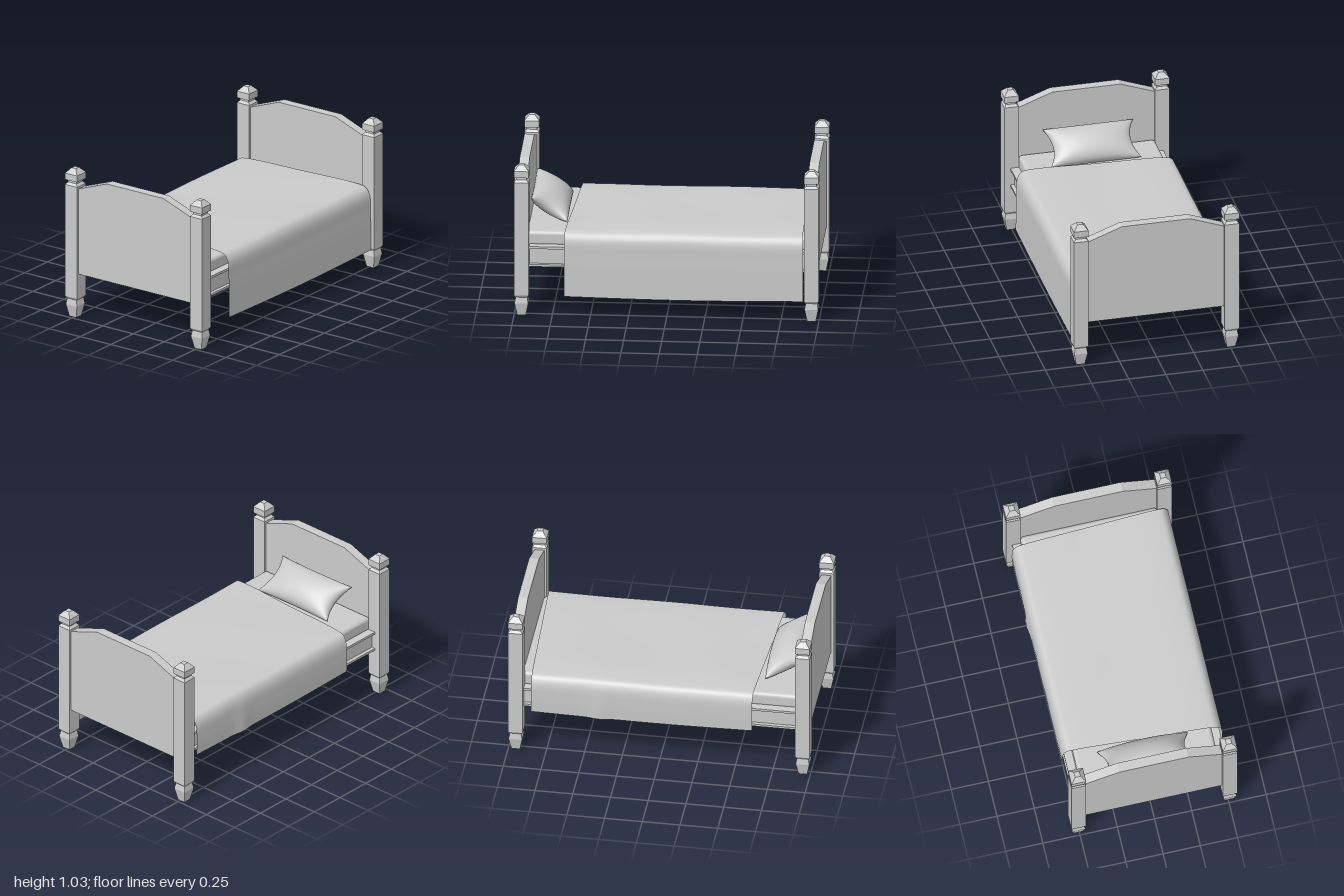
import * as THREE from 'three';
import { RoundedBoxGeometry } from 'three/addons/geometries/RoundedBoxGeometry.js';

const smooth = new THREE.MeshStandardMaterial({ color: 0xcccccc });
const flat = new THREE.MeshStandardMaterial({ color: 0xcccccc, flatShading: true });
const cloth = new THREE.MeshStandardMaterial({ color: 0xcccccc, side: THREE.DoubleSide });

const POST_X = 0.508, POST_Z = 0.951;

function addMesh(parent, name, geometry, material, x = 0, y = 0, z = 0) {
  const mesh = new THREE.Mesh(geometry, material);
  mesh.name = name;
  mesh.position.set(x, y, z);
  parent.add(mesh);
  return mesh;
}

// Square turned post: half-width at each height, swept with four sides
function postGeometry() {
  const profile = [
    [0, 0], [0.028, 0], [0.045, 0.085], [0.038, 0.126], [0.049, 0.142],
    [0.049, 0.921], [0.034, 0.937], [0.034, 0.955], [0.049, 0.955],
    [0.049, 1.0], [0.018, 1.035], [0, 1.035],
  ];
  const points = profile.map(([half, y]) => new THREE.Vector2(half * Math.SQRT2, y));
  return new THREE.LatheGeometry(points, 4).rotateY(Math.PI / 4);
}

// Board with sloped shoulders, centred on its thickness
function boardGeometry(depth) {
  const outline = [[-0.465, 0.31], [0.465, 0.31], [0.465, 0.903], [0.23, 0.99], [-0.23, 0.99], [-0.465, 0.903]];
  const shape = new THREE.Shape(outline.map(([x, y]) => new THREE.Vector2(x, y)));
  return new THREE.ExtrudeGeometry(shape, { depth, bevelEnabled: false }).translate(0, 0, -depth / 2);
}

// Sheet draped over the mattress: a cross-section carried along z,
// hanging lower on +x and lying slightly askew
function blanketGeometry() {
  const section = new THREE.CatmullRomCurve3([
    [-0.528, 0.30], [-0.53, 0.42], [-0.522, 0.52], [-0.495, 0.562], [-0.44, 0.574], [0, 0.577],
    [0.44, 0.574], [0.495, 0.562], [0.525, 0.52], [0.533, 0.40], [0.537, 0.135],
  ].map(([x, y]) => new THREE.Vector3(x, y, 0)), false, 'centripetal');
  const geometry = new THREE.PlaneGeometry(1, 1, 64, 48);
  const position = geometry.attributes.position;
  const p = new THREE.Vector3();
  for (let i = 0; i < position.count; i++) {
    section.getPoint(position.getX(i) + 0.5, p);
    const t = 0.5 - position.getY(i);
    const side = p.x / 0.535;
    const z = THREE.MathUtils.lerp(-0.872 - 0.022 * side, 0.643 + 0.03 * side, t);
    const drop = THREE.MathUtils.clamp((0.56 - p.y) / 0.3, 0, 1);
    // one soft fold on the -x side and gentle ripples on top
    const fold = p.x < 0 ? Math.exp(-(((z + 0.4) / 0.06) ** 2)) * 0.014 * drop : 0;
    const ripple = 0.002 * Math.sin(7 * z + 4 * p.x) * (1 - drop);
    const sag = -0.01 * drop * Math.sin(Math.PI * t);
    position.setXYZ(i, p.x - fold, p.y + ripple + sag, z);
  }
  geometry.computeVertexNormals();
  return geometry;
}

// One half of the pillow: pinched sides, pointed corners, puffed middle
function pillowHalf() {
  const geometry = new THREE.PlaneGeometry(2, 2, 28, 20);
  const position = geometry.attributes.position;
  for (let i = 0; i < position.count; i++) {
    const u = Math.sin(position.getX(i) * Math.PI / 2);
    const v = Math.sin(position.getY(i) * Math.PI / 2);
    const puff = 0.09 * Math.pow(Math.max(0, (1 - u * u) * (1 - v * v)), 0.45);
    position.setXYZ(
      i,
      0.305 * u * (1 - 0.15 * (1 - v * v)),
      0.142 * v * (1 - 0.06 * (1 - u * u)),
      puff,
    );
  }
  geometry.computeVertexNormals();
  return geometry;
}

export function createModel() {
  const bed = new THREE.Group();
  bed.name = 'bed';

  // Four corner posts and the two end boards
  const post = postGeometry();
  const board = boardGeometry(0.065);
  for (const sz of [1, -1]) {
    for (const sx of [1, -1]) {
      const name = (sz > 0 ? 'head' : 'foot') + (sx > 0 ? 'LeftPost' : 'RightPost');
      addMesh(bed, name, post, flat, sx * POST_X, 0, sz * POST_Z);
    }
    addMesh(bed, sz > 0 ? 'headboard' : 'footboard', board, flat, 0, 0, sz * 0.95);
  }

  // Frame: recessed core between projecting lower and upper ledges
  const frame = new THREE.Group();
  frame.name = 'frame';
  bed.add(frame);
  const layers = [
    ['lowerLedge', 1.03, 0.33, 0.345],
    ['railCore', 0.98, 0.345, 0.452],
    ['upperLedge', 1.03, 0.452, 0.468],
  ];
  for (const [name, width, y0, y1] of layers) {
    addMesh(frame, name, new THREE.BoxGeometry(width, y1 - y0, 1.84), flat, 0, (y0 + y1) / 2, 0);
  }

  // Bedding
  addMesh(bed, 'mattress', new RoundedBoxGeometry(0.92, 0.1, 1.84, 4, 0.025), smooth, 0, 0.505, 0);
  addMesh(bed, 'blanket', blanketGeometry(), cloth);

  // Pillow leaning back against the headboard
  const pillow = new THREE.Group();
  pillow.name = 'pillow';
  const half = pillowHalf();
  addMesh(pillow, 'pillowFront', half, smooth);
  addMesh(pillow, 'pillowBack', half, smooth).rotation.y = Math.PI;
  pillow.position.set(-0.005, 0.648, 0.785);
  pillow.rotation.set(-Math.PI / 2 - 0.58, 0, Math.PI);
  bed.add(pillow);

  return bed;
}
